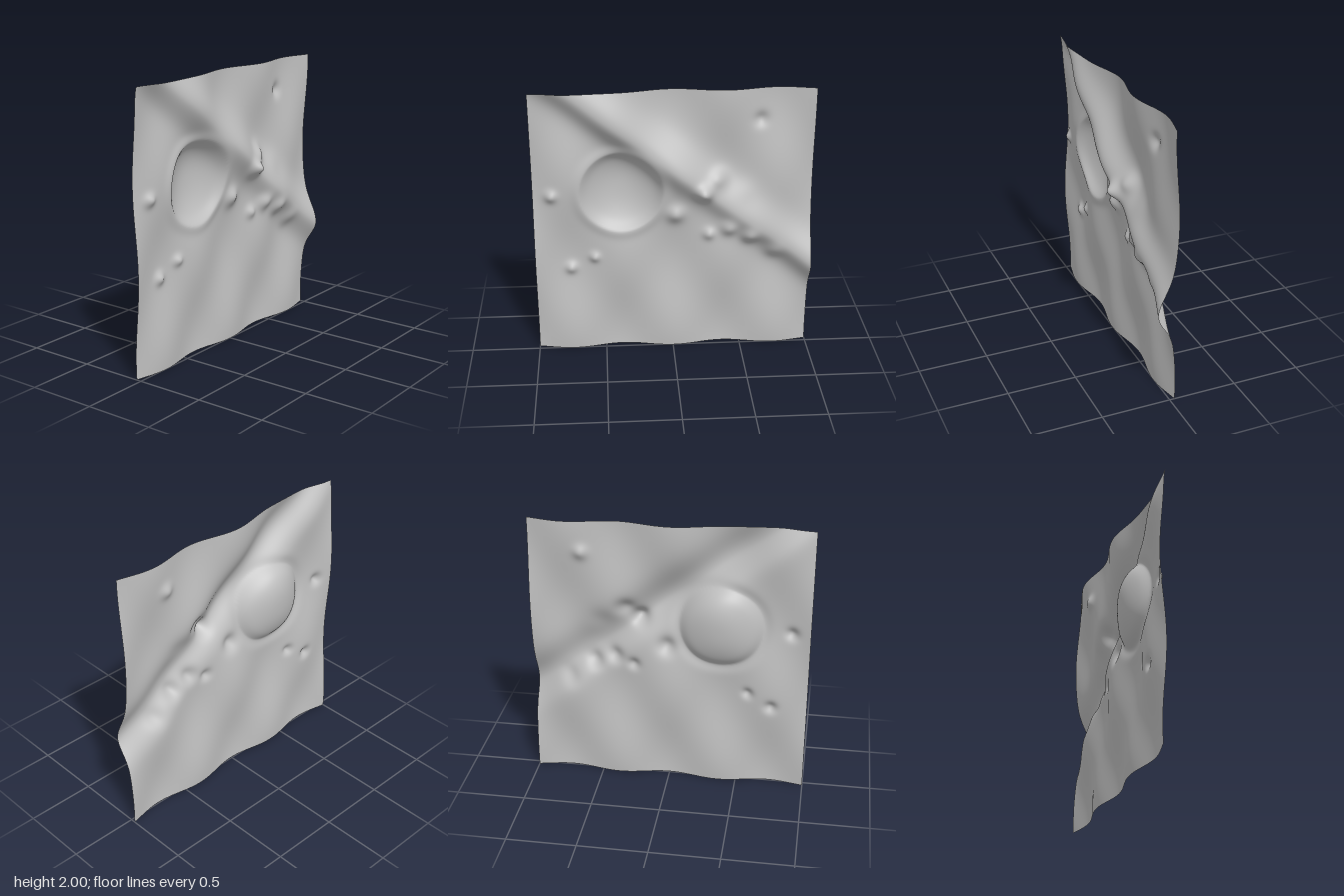
import * as THREE from 'three';

const SEGMENTS = 180;

// Small craters and knobs: [x, y, height, radius]
const BUMPS = [
  [-0.87, 1.23, 0.035, 0.03],
  [-0.74, 0.65, 0.035, 0.03],
  [-0.57, 0.74, 0.03, 0.026],
  [0.02, 1.07, 0.045, 0.045],
  [0.22, 1.26, 0.065, 0.04],
  [0.32, 1.35, 0.04, 0.045],
  [0.26, 0.91, 0.03, 0.03],
  [0.4, 0.96, 0.04, 0.04],
  [0.55, 0.9, 0.04, 0.04],
  [0.73, 0.77, 0.025, 0.045],
  [0.5, 1.25, 0.012, 0.06],
  [0.62, 1.77, -0.03, 0.035],
];

const bell = (d, sigma) => Math.exp(-(d * d) / (2 * sigma * sigma));

// Gentle rolling waves over the whole sheet
const waves = (x, y) => -0.02 + 0.03 * Math.cos(8.5 * x) * Math.sin(5.1 * (y - 1.03));

// Diagonal ridge, steeper on its lower side
function ridge(x, y) {
  const d = (y - 1.44 + 0.755 * x) * 0.798;
  return 0.1 * bell(d, d < 0 ? 0.08 : 0.11);
}

// Large round bowl with a slightly raised rim
function bowl(x, y) {
  const r = Math.hypot(x + 0.37, y - 1.25) / 0.3;
  const dip = r < 1 ? -0.062 * (1 - Math.pow(r, 2.8)) : 0;
  return dip + 0.014 * bell(r - 1.02, 0.11);
}

function relief(x, y) {
  let z = waves(x, y) + ridge(x, y) + bowl(x, y);
  for (const [bx, by, height, radius] of BUMPS) {
    z += height * bell(Math.hypot(x - bx, y - by), radius);
  }
  return z;
}

export function createModel() {
  const group = new THREE.Group();
  group.name = 'terrainPanel';

  const stone = new THREE.MeshStandardMaterial({ color: 0xc0c0c0, side: THREE.DoubleSide });
  stone.name = 'stone grey';

  // Upright sheet displaced along z
  const geometry = new THREE.PlaneGeometry(2, 2, SEGMENTS, SEGMENTS);
  geometry.translate(0, 1, 0);
  const p = geometry.attributes.position;
  for (let i = 0; i < p.count; i++) p.setZ(i, relief(p.getX(i), p.getY(i)));
  geometry.computeVertexNormals();

  const sheet = new THREE.Mesh(geometry, stone);
  sheet.name = 'terrainSheet';
  group.add(sheet);
  return group;
}
